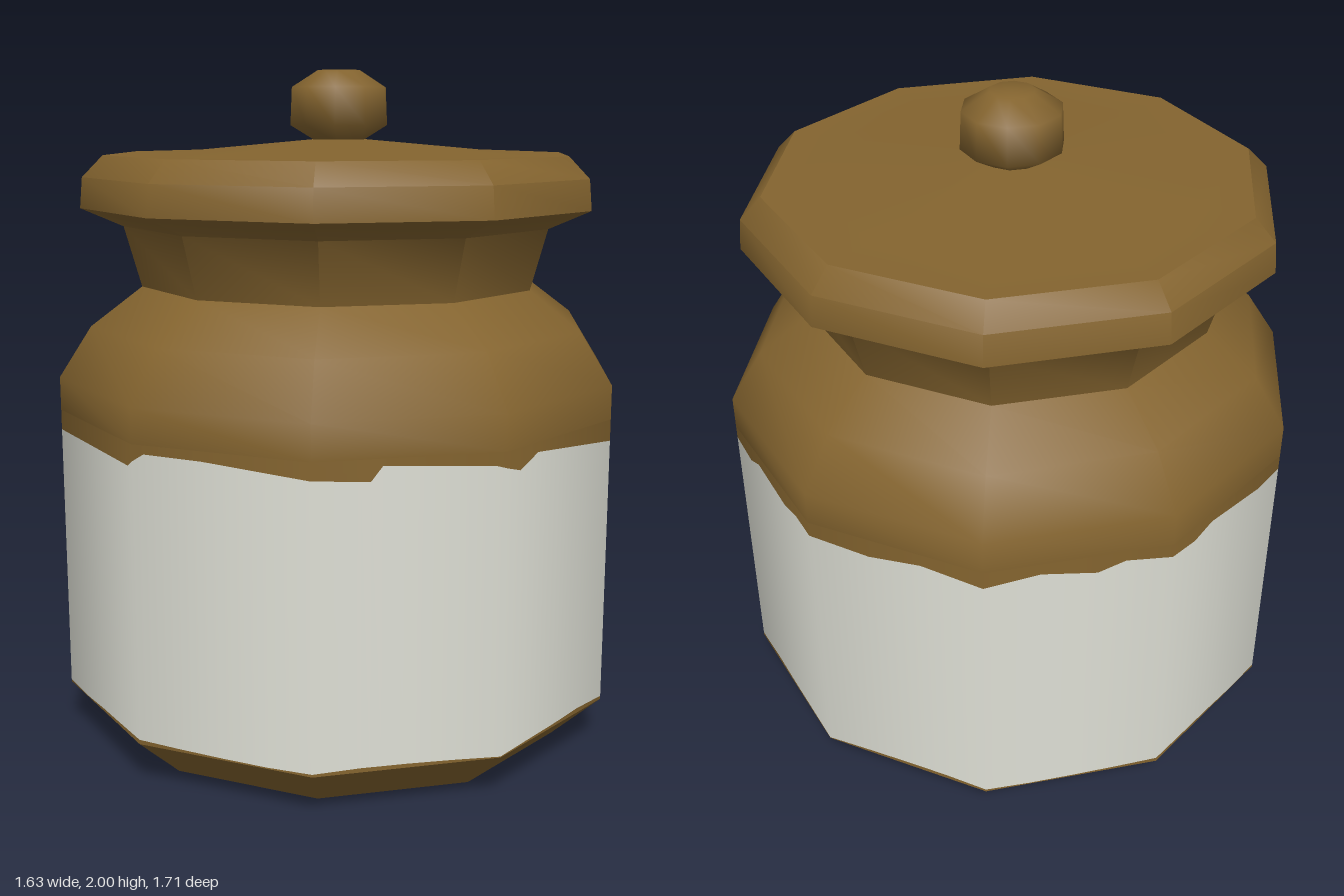
import * as THREE from 'three';
import { toCreasedNormals } from 'three/addons/utils/BufferGeometryUtils.js';

const SIDES = 10;
const RADIUS = 0.857;

// Ten-sided turned part from [radius, height] pairs, bottom to top
function turned(profile, crease) {
  const points = profile.map(([r, y]) => new THREE.Vector2(r, y));
  return toCreasedNormals(new THREE.LatheGeometry(points, SIDES), crease);
}

// Direction around the ten-sided wall; u counts sides, starting at the front corner
function around(u) {
  const corner = (i) => {
    const a = (i / SIDES) * Math.PI * 2;
    return new THREE.Vector3(Math.sin(a), 0, Math.cos(a));
  };
  const i = Math.floor(u);
  return corner(i).lerp(corner(i + 1), u - i);
}

// Height at u along a ragged edge of [u, height] pairs
function edgeHeight(edge, u) {
  if (typeof edge === 'number') return edge;
  for (let i = 1; i < edge.length; i++) {
    const [u0, y0] = edge[i - 1], [u1, y1] = edge[i];
    if (u <= u1) return y0 + (y1 - y0) * (u - u0) / (u1 - u0);
  }
  return edge[edge.length - 1][1];
}

// Strip of the straight wall between a lower and an upper edge
function wallStrip(lower, upper) {
  const stops = new Set();
  for (let i = 0; i <= SIDES; i++) stops.add(i);
  for (const edge of [lower, upper]) {
    if (typeof edge !== 'number') edge.forEach(([u]) => stops.add(u));
  }
  const positions = [], normals = [], index = [];
  [...stops].sort((a, b) => a - b).forEach((u, k) => {
    const d = around(u), n = d.clone().normalize();
    for (const edge of [lower, upper]) {
      positions.push(d.x * RADIUS, edgeHeight(edge, u), d.z * RADIUS);
      normals.push(n.x, 0, n.z);
    }
    const b = k * 2;
    if (k > 0) index.push(b - 2, b, b - 1, b, b + 1, b - 1);
  });
  const geometry = new THREE.BufferGeometry();
  geometry.setAttribute('position', new THREE.Float32BufferAttribute(positions, 3));
  geometry.setAttribute('normal', new THREE.Float32BufferAttribute(normals, 3));
  geometry.setIndex(index);
  return geometry;
}

export function createModel() {
  const jar = new THREE.Group();
  jar.name = 'lidded jar';
  const brown = new THREE.MeshStandardMaterial({ color: 0x84642f });
  brown.name = 'brown glaze';
  const cream = new THREE.MeshStandardMaterial({ color: 0xdedfd5 });
  cream.name = 'pale glaze';

  const add = (name, geometry, material) => {
    const mesh = new THREE.Mesh(geometry, material);
    mesh.name = name;
    jar.add(mesh);
  };

  // Ragged upper glaze line, running from the front corner towards the left
  const glazeTop = [
    [0, 0.95], [0.3, 0.94], [0.36, 0.98], [0.95, 0.962], [1.12, 0.937], [1.28, 0.972],
    [2.03, 0.935], [2.12, 0.965], [2.27, 0.937], [2.4, 0.97], [2.65, 0.94], [2.73, 0.965],
    [2.9, 0.948], [2.97, 0.963], [3.2, 0.94], [3.32, 0.965], [3.67, 0.943], [3.83, 0.96],
    [4.35, 0.94], [4.65, 0.962], [5, 0.945], [5.3, 0.965], [5.6, 0.94], [5.75, 0.968],
    [6.2, 0.945], [6.35, 0.965], [6.8, 0.94], [7.1, 0.96], [7.6, 0.945], [8.05, 0.94],
    [8.95, 0.935], [9.07, 0.975], [9.4, 0.972], [10, 0.95],
  ];
  // Nearly straight lower glaze line with small nicks
  const glazeBottom = [];
  for (let i = 0; i <= 40; i++) {
    glazeBottom.push([i / 4, 0.143 + 0.006 * Math.sin(i * Math.PI * 0.35) ** 3]);
  }

  // Body
  add('base', turned([[0, 0], [0.71, 0], [RADIUS, 0.135]], 0.7), brown);
  add('lowerGlazeEdge', wallStrip(0.135, glazeBottom), brown);
  add('paleBand', wallStrip(glazeBottom, glazeTop), cream);
  add('upperGlazeEdge', wallStrip(glazeTop, 1), brown);
  add('shoulderAndNeck', turned([
    [RADIUS, 1], [RADIUS, 1.1], [0.76, 1.25], [0.605, 1.365], [0.655, 1.545], [0.78, 1.6],
  ], 0.9), brown);

  // Lid with a low conical top
  add('lid', turned([
    [0.78, 1.6], [0.772, 1.69], [0.71, 1.753], [0.56, 1.753], [0.07, 1.797], [0, 1.797],
  ], 0.72), brown);

  // Rounded knob
  add('knob', turned([
    [0, 1.79], [0.07, 1.79], [0.15, 1.838], [0.145, 1.95], [0.065, 2], [0, 2],
  ], 1.2), brown);

  return jar;
}
